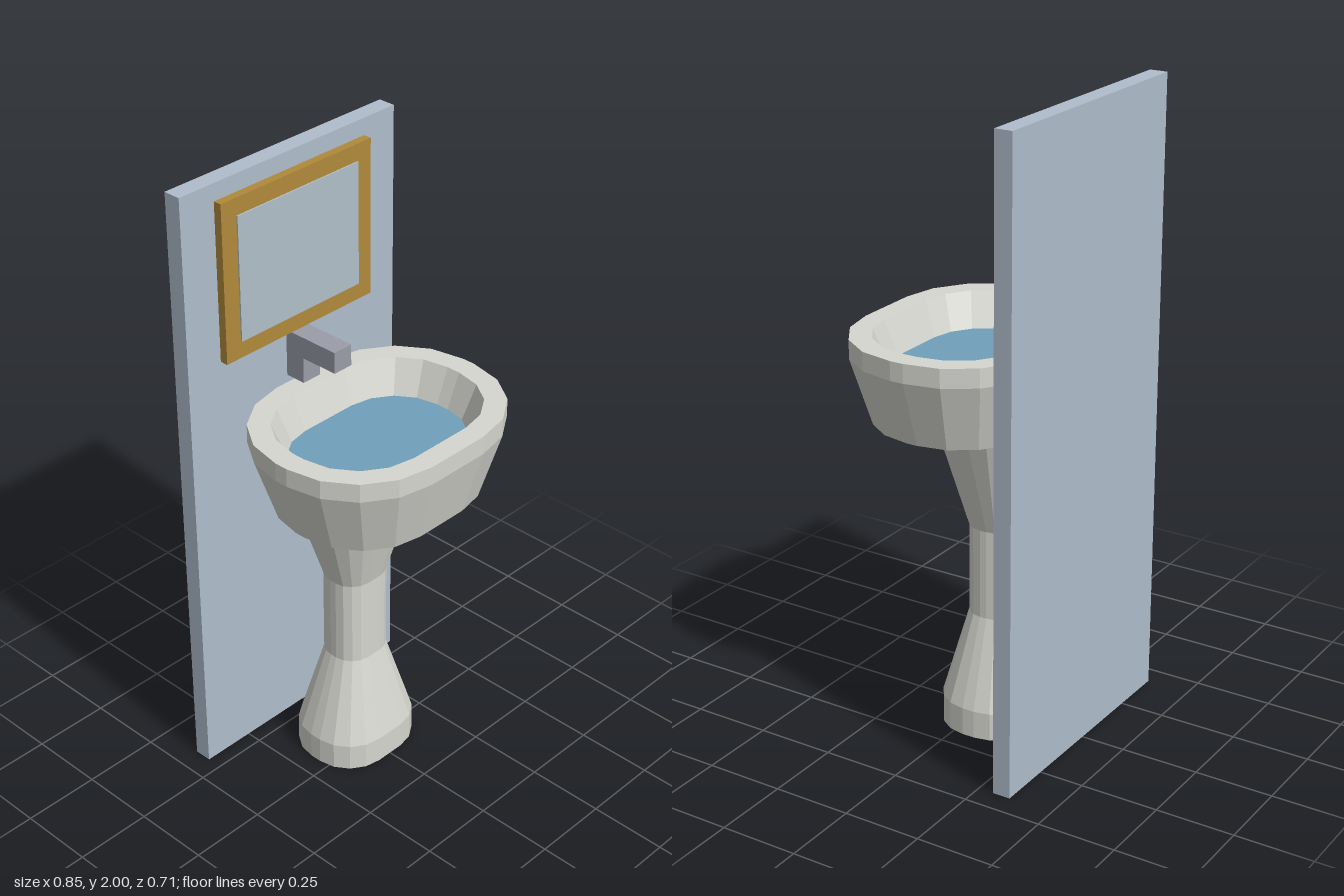
import * as THREE from 'three';

const paint = (color) => new THREE.MeshStandardMaterial({ color, flatShading: true });

// Rounded-rectangle outline: half sizes hx, hz and corner radius r, five points per corner
function ring(y, hx, hz, r, cz) {
  const points = [];
  for (let corner = 0; corner < 4; corner++) {
    const sx = corner === 0 || corner === 3 ? 1 : -1;
    const sz = corner < 2 ? 1 : -1;
    for (let i = 0; i <= 4; i++) {
      const a = (corner + i / 4) * Math.PI / 2;
      points.push(new THREE.Vector3(
        sx * (hx - r) + r * Math.cos(a), y, cz + sz * (hz - r) + r * Math.sin(a)));
    }
  }
  return points;
}

// Skin between successive outlines, closed by a fan at each end
function loft(rings) {
  const pos = [];
  const tri = (...corners) => corners.forEach((p) => pos.push(p.x, p.y, p.z));
  const n = rings[0].length;
  const centre = (points) => points.reduce((s, p) => s.add(p), new THREE.Vector3()).divideScalar(n);
  const first = rings[0], last = rings[rings.length - 1];
  const c0 = centre(first), c1 = centre(last);
  for (let i = 0; i < n; i++) {
    const j = (i + 1) % n;
    tri(c0, first[i], first[j]);
    tri(c1, last[j], last[i]);
    for (let k = 0; k < rings.length - 1; k++) {
      const lo = rings[k], hi = rings[k + 1];
      tri(lo[i], hi[i], lo[j]);
      tri(lo[j], hi[i], hi[j]);
    }
  }
  const geo = new THREE.BufferGeometry();
  geo.setAttribute('position', new THREE.Float32BufferAttribute(pos, 3));
  geo.computeVertexNormals();
  return geo;
}

export function createModel() {
  const group = new THREE.Group();
  const ceramic = paint(0xd6d6d0);
  const metal = paint(0x9a9da8);

  const add = (name, geometry, material, parent = group) => {
    const mesh = new THREE.Mesh(geometry, material);
    mesh.name = name;
    parent.add(mesh);
    return mesh;
  };
  // Box given by its limits on each axis
  const box = (name, [x0, x1], [y0, y1], [z0, z1], material, parent) =>
    add(name, new THREE.BoxGeometry(x1 - x0, y1 - y0, z1 - z0), material, parent)
      .position.set((x0 + x1) / 2, (y0 + y1) / 2, (z0 + z1) / 2);

  // Wall panel
  box('wallPanel', [-0.427, 0.427], [0, 2], [-0.357, -0.3], paint(0xb0bdcc));

  // Pedestal: flared foot, narrow stem, flared neck (y, half width, half depth)
  const pedestal = [
    [0, 0.185, 0.155], [0.09, 0.185, 0.155], [0.37, 0.098, 0.083],
    [0.66, 0.098, 0.083], [1.0, 0.21, 0.168],
  ].map(([y, hx, hz]) => ring(y, hx, hz, hx * 0.73, -0.055));
  add('pedestal', loft(pedestal), ceramic);

  // Basin: up the outside, over the rim, down into the bowl
  const cz = 0.043;
  add('basin', loft([
    ring(1.0, 0.328, 0.256, 0.238, cz),
    ring(1.215, 0.4, 0.312, 0.29, cz),
    ring(1.275, 0.4, 0.312, 0.29, cz),
    ring(1.275, 0.33, 0.243, 0.22, cz),
    ring(1.16, 0.281, 0.203, 0.182, cz),
  ]), ceramic);

  // Water surface just above the bowl floor
  const water = ring(1.165, 0.283, 0.205, 0.183, cz);
  const surface = new THREE.Shape(water.map((p) => new THREE.Vector2(p.x, -p.z)));
  const waterMesh = add('water', new THREE.ShapeGeometry(surface), paint(0x70a0bc));
  waterMesh.rotation.x = -Math.PI / 2;
  waterMesh.position.y = 1.165;

  // Tap: post on the wall and square spout
  const tap = new THREE.Group();
  tap.name = 'tap';
  group.add(tap);
  box('tapPost', [-0.035, 0.035], [1.275, 1.36], [-0.3, -0.23], metal, tap);
  box('tapSpout', [-0.035, 0.035], [1.36, 1.43], [-0.3, -0.1], metal, tap);

  // Mirror: wooden frame with slightly proud glass
  const mirror = new THREE.Group();
  mirror.name = 'mirror';
  group.add(mirror);
  box('mirrorFrame', [-0.3, 0.3], [1.433, 1.945], [-0.3, -0.273], paint(0xb08a3a), mirror);
  box('mirrorGlass', [-0.243, 0.243], [1.488, 1.89], [-0.28, -0.268], paint(0xb0bfc9), mirror);

  return group;
}
